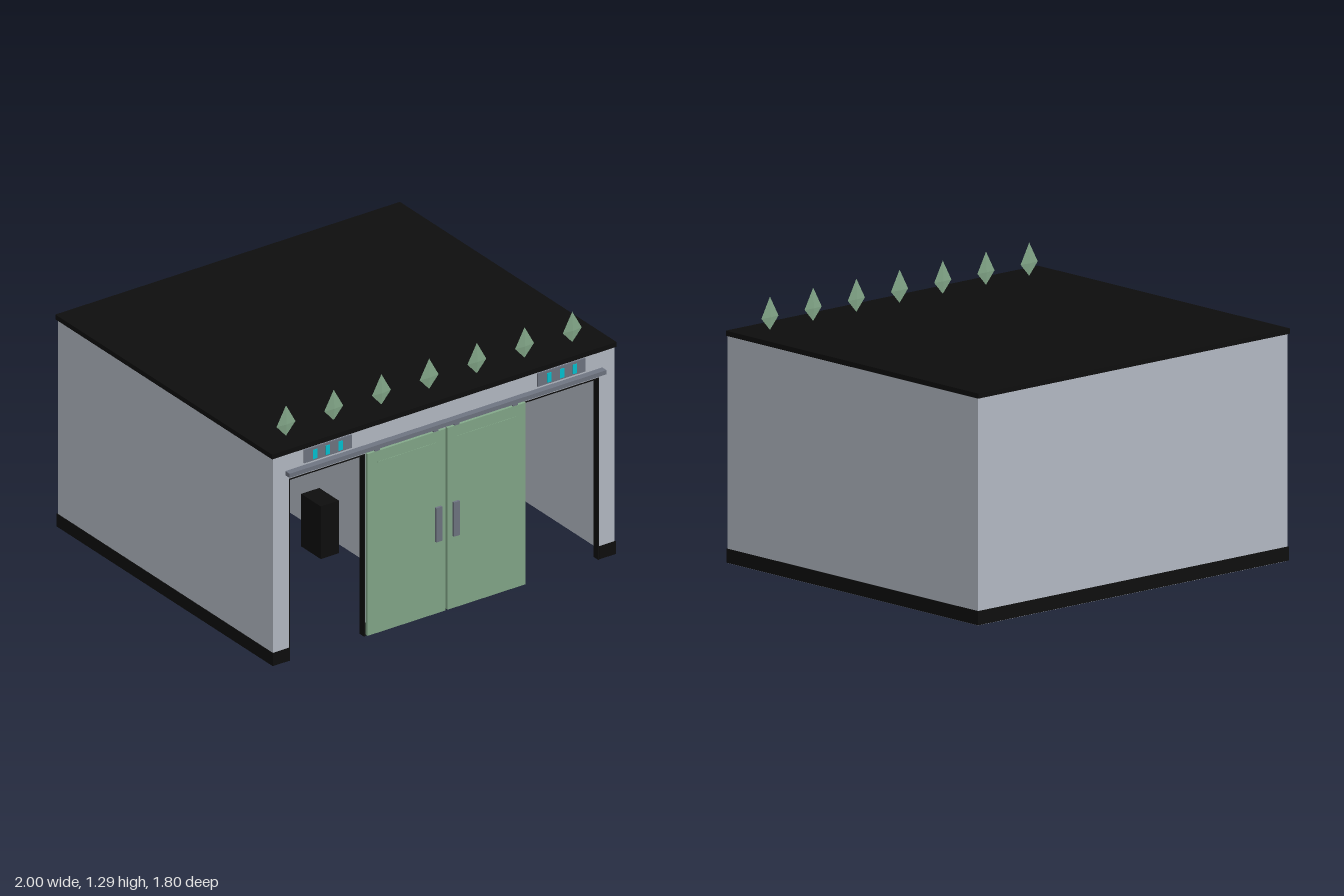
import * as THREE from 'three';

export function createModel() {
  const model = new THREE.Group();
  model.name = 'restroomBuilding';
  const mat = (name, color) => {
    const m = new THREE.MeshStandardMaterial({ color });
    m.name = name;
    return m;
  };
  const wall = mat('paleGrey', 0xb6bcc6);
  const black = mat('black', 0x0d0d0d);
  const green = mat('sageGreen', 0x84a98a);
  const grey = mat('steelGrey', 0x6f7582);
  const cyan = mat('cyan', 0x00c4d4);

  const add = (name, geometry, material, parent = model) => {
    const m = new THREE.Mesh(geometry, material);
    m.name = name;
    parent.add(m);
    return m;
  };
  // Box given by its lower and upper limits on each axis
  const box = (name, material, x0, x1, y0, y1, z0, z1, parent = model) => {
    const m = add(name, new THREE.BoxGeometry(x1 - x0, y1 - y0, z1 - z0), material, parent);
    m.position.set((x0 + x1) / 2, (y0 + y1) / 2, (z0 + z1) / 2);
    return m;
  };

  // Shell
  const T = 0.03, W = 0.992, ZB = -0.89, ZF = 0.865, H = 1.105;
  box('backWall', wall, -W, W, 0, H, ZB, ZB + T);
  box('partition', wall, -0.012, 0.012, 0, H, ZB + T, ZF - T);
  box('centreFrontWall', wall, -0.46, 0.46, 0, 0.97, ZF - T, ZF);
  box('frontHeader', wall, -W + T, W - T, 0.97, H, ZF - T, ZF);
  box('roof', black, -1, 1, H, 1.13, -0.9, 0.87);

  // Baseboards on the back and the centre front
  box('backBaseboard', black, -W, W, 0.002, 0.07, ZB - 0.004, ZB);
  box('centreBaseboard', black, -0.46, 0.46, 0.002, 0.07, ZF, ZF + 0.003);

  // Sliding door rail
  box('doorRail', grey, -0.92, 0.92, 0.995, 1.017, ZF, 0.9);

  // Everything that exists once per side
  for (const s of [1, -1]) {
    const side = new THREE.Group();
    side.name = s > 0 ? 'leftUnit' : 'rightUnit';
    model.add(side);
    const b = (name, material, x0, x1, y0, y1, z0, z1) =>
      box(name, material, s > 0 ? x0 : -x1, s > 0 ? x1 : -x0, y0, y1, z0, z1, side);

    b('sideWall', wall, W - T, W, 0, H, ZB + T, ZF);
    b('frontStub', wall, 0.9, W - T, 0, 0.97, ZF - T, ZF);
    b('sideBaseboard', black, W, W + 0.004, 0.002, 0.07, ZB - 0.004, ZF + 0.004);
    b('frontBaseboard', black, 0.9, W + 0.004, 0.002, 0.07, ZF, ZF + 0.004);

    // Black lining of the doorway
    b('outerJamb', black, 0.894, 0.9, 0, 0.97, ZF - T - 0.004, ZF + 0.003);
    b('innerJamb', black, 0.46, 0.466, 0, 0.97, ZF - T - 0.004, ZF + 0.003);
    b('lintel', black, 0.46, 0.9, 0.964, 0.97, ZF - T - 0.004, ZF + 0.003);

    // Door with hangers and handle
    b('door', green, 0.006, 0.459, 0.01, 0.978, 0.871, 0.888);
    b('doorStrip', green, 0.06, 0.4, 0.915, 0.921, 0.888, 0.89);
    for (const x of [0.06, 0.4]) b('doorHanger', grey, x - 0.014, x + 0.014, 0.975, 0.997, 0.873, 0.887);
    b('doorHandle', grey, 0.034, 0.068, 0.395, 0.577, 0.888, 0.9);

    // Light panel over the doorway
    b('lightPanel', grey, 0.54, 0.816, 1.03, 1.1, ZF, 0.873);
    for (const x of [0.606, 0.68, 0.754]) b('lightBar', cyan, x - 0.012, x + 0.012, 1.038, 1.087, 0.873, 0.876);

    // Toilet: oval bowl, rim and lid
    const toilet = new THREE.Group();
    toilet.name = 'toilet';
    toilet.position.set(s * 0.74, 0, -0.69);
    toilet.scale.z = 1.4;
    side.add(toilet);
    const profile = [[0, 0], [0.085, 0], [0.088, 0.17], [0.088, 0.178], [0.08, 0.18], [0.08, 0.198], [0, 0.2]];
    // Each point pair keeps its own ring so that edges stay crisp
    for (let i = 0; i < profile.length - 1; i++) {
      const pair = [profile[i], profile[i + 1]].map(p => new THREE.Vector2(...p));
      add('bowlSection', new THREE.LatheGeometry(pair, 28), wall, toilet);
    }

    // Cistern with flush button
    b('cistern', grey, 0.648, 0.83, 0.208, 0.463, ZB + T, -0.74);
    b('flushButton', green, 0.714, 0.764, 0.417, 0.431, -0.74, -0.735);

    // Grab rail on the back wall
    const rail = add('grabRail', new THREE.CylinderGeometry(0.009, 0.009, 0.32, 10), grey, side);
    rail.rotation.z = Math.PI / 2;
    rail.position.set(s * 0.44, 0.402, -0.81);
    for (const x of [0.3, 0.58]) b('railMount', grey, x - 0.01, x + 0.01, 0.393, 0.411, ZB + T, -0.81);

    // Basin with tap on the partition
    b('basin', wall, 0.012, 0.25, 0.34, 0.415, -0.35, -0.13);
    b('basinHollow', grey, 0.07, 0.22, 0.415, 0.418, -0.31, -0.17);
    b('tapPost', grey, 0.03, 0.045, 0.415, 0.48, -0.247, -0.233);
    b('tapSpout', grey, 0.03, 0.1, 0.468, 0.48, -0.247, -0.233);

    // Fold-down table with a green strip
    b('foldingTable', wall, 0.012, 0.06, 0.375, 0.65, 0.2, 0.6);
    b('tableStrip', green, 0.06, 0.064, 0.5, 0.515, 0.28, 0.52);

    // Waste bin
    b('wasteBin', black, 0.065, 0.17, 0, 0.28, -0.06, 0.1);
  }

  // Flat kite-shaped leaves along the front of the roof
  const leaf = new THREE.OctahedronGeometry(1).toNonIndexed();
  const p = leaf.attributes.position;
  for (let i = 0; i < p.count; i++) {
    const y = p.getY(i);
    p.setXYZ(i, p.getX(i) * 0.055, y > 0 ? y * 0.1 : y * 0.062, p.getZ(i) * 0.006);
  }
  leaf.computeVertexNormals();
  for (let i = -3; i <= 3; i++) add('roofLeaf', leaf, green).position.set(i * 0.277, 1.19, 0.745);

  return model;
}
